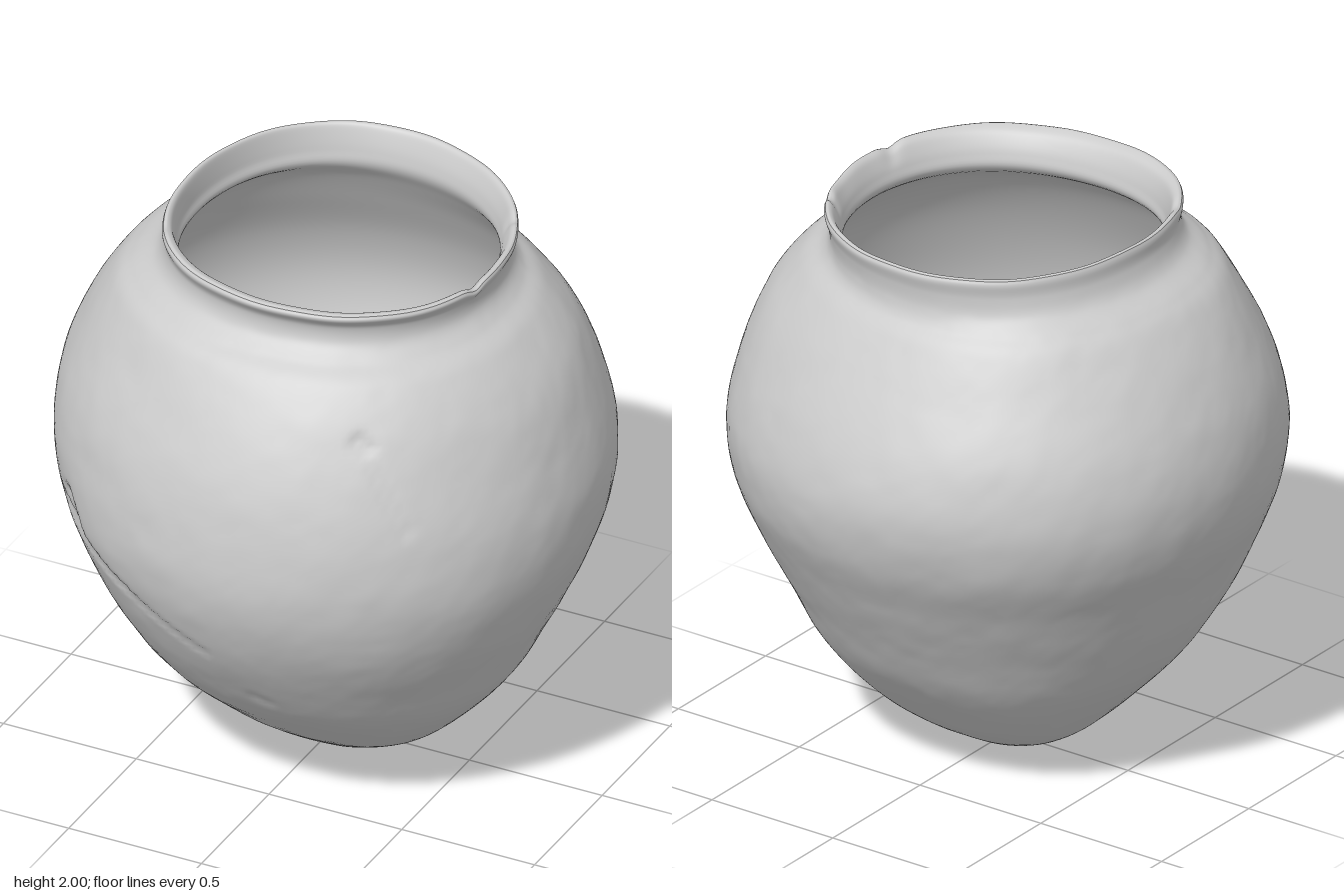
import * as THREE from 'three';

// Outer sections from base to lip: [y, xMin, xMax, zMin, zMax]
const OUTER = [
  [0, 0.03, 0.03, 0.03, 0.03],
  [0.006, -0.06, 0.12, -0.06, 0.1],
  [0.03, -0.165, 0.21, -0.145, 0.16],
  [0.1, -0.31, 0.35, -0.265, 0.265],
  [0.2, -0.43, 0.485, -0.39, 0.4],
  [0.4, -0.615, 0.67, -0.575, 0.625],
  [0.6, -0.745, 0.785, -0.7, 0.78],
  [0.8, -0.84, 0.88, -0.815, 0.89],
  [1.0, -0.93, 0.945, -0.915, 0.947],
  [1.2, -0.965, 0.957, -0.947, 0.94],
  [1.4, -0.94, 0.915, -0.9, 0.89],
  [1.6, -0.855, 0.84, -0.795, 0.795],
  [1.75, -0.755, 0.72, -0.7, 0.695],
  [1.81, -0.69, 0.635, -0.645, 0.62],
  [1.86, -0.61, 0.595, -0.625, 0.573],
  [1.92, -0.577, 0.595, -0.625, 0.565],
  [1.965, -0.575, 0.61, -0.635, 0.592],
  [1.983, -0.57, 0.607, -0.63, 0.588],
];
// Inside of the mouth, going down
const MOUTH = [
  [1.985, -0.558, 0.595, -0.615, 0.57],
  [1.965, -0.55, 0.575, -0.6, 0.535],
  [1.9, -0.545, 0.552, -0.578, 0.505],
  [1.84, -0.548, 0.552, -0.578, 0.51],
];
// Hollow interior: the outer sections drawn in by the wall thickness
const WALL = 0.065;
const INNER = OUTER.slice(0, 13).reverse().map(([y, a, b, c, d]) => {
  const k = Math.min(WALL, (b - a) / 2, (d - c) / 2);
  return [y + WALL * (1 - y / 2), a + k, b - k, c + k, d - k];
});

// Scars cut into the front: [x1, y1, x2, y2, width, depth]
const SCARS = [
  [-0.73, 1.01, -0.62, 0.97, 0.024, 0.02],
  [-0.69, 1.07, -0.64, 1.0, 0.026, 0.022],
  [-0.62, 0.97, -0.38, 0.87, 0.015, 0.015],
  [-0.38, 0.87, -0.06, 0.73, 0.014, 0.01],
  [0.43, 1.61, 0.47, 1.58, 0.02, 0.016],
  [0.47, 1.58, 0.63, 1.31, 0.014, 0.008],
  [0.06, 0.52, 0.1, 0.5, 0.025, 0.008],
];
// Chips in the lip: [angle, half width, depth]
const CHIPS = [[-0.5, 0.05, 0.016], [0.27, 0.06, 0.016], [2.6, 0.07, 0.01], [-0.25, 0.15, 0.008]];

const { lerp, smoothstep, clamp } = THREE.MathUtils;
const bell = (d, w) => Math.exp(-(d * d) / (w * w));

function scarDepth(p) {
  if (p.z < 0) return 0;
  let depth = 0;
  for (const [x1, y1, x2, y2, w, d] of SCARS) {
    const dx = x2 - x1, dy = y2 - y1;
    const t = clamp(((p.x - x1) * dx + (p.y - y1) * dy) / (dx * dx + dy * dy), 0, 1);
    depth = Math.max(depth, d * bell(Math.hypot(p.x - x1 - t * dx, p.y - y1 - t * dy), w));
  }
  return depth;
}

// Seeded value noise in space, from -1 to 1
function hash(x, y, z) {
  let h = Math.imul(x, 374761393) ^ Math.imul(y, 668265263) ^ Math.imul(z, 1274126177);
  h = Math.imul(h ^ (h >>> 13), 1103515245);
  return ((h ^ (h >>> 16)) >>> 0) / 2147483648 - 1;
}
function noise(p, scale) {
  const [x, y, z] = [p.x * scale, p.y * scale, p.z * scale];
  const [i, j, k] = [x, y, z].map(Math.floor);
  const u = smoothstep(x - i, 0, 1), v = smoothstep(y - j, 0, 1), w = smoothstep(z - k, 0, 1);
  const edge = (b, c) => lerp(hash(i, b, c), hash(i + 1, b, c), u);
  return lerp(lerp(edge(j, k), edge(j + 1, k), v), lerp(edge(j, k + 1), edge(j + 1, k + 1), v), w);
}

// Gentle unevenness of hand-formed clay
const unevenness = (p) => 0.004 * noise(p, 4) + 0.0018 * noise(p, 11) + 0.0007 * noise(p, 26);

// How far a section departs from an ellipse between its four measured sides
function outOfRound(angle, y) {
  const s = Math.sin(2 * angle);
  const low = 1 - smoothstep(y, 0.1, 0.6), neck = smoothstep(y, 1.6, 1.88);
  const lean = 0.019 * neck * s * (Math.cos(angle) - Math.sin(angle));
  return 1 + 0.017 * s + (0.005 + 0.06 * low + 0.018 * neck) * s * s + lean;
}

// Loft through the sections, with a vertex rule applied
function loft(sections, steps, around, shape) {
  const curve = (f) => new THREE.CatmullRomCurve3(sections.map(f), false, 'catmullrom', 0.5);
  const centres = curve(([y, a, b, c, d]) => new THREE.Vector3((a + b) / 2, y, (c + d) / 2));
  const radii = curve(([y, a, b, c, d]) => new THREE.Vector3((b - a) / 2, y, (d - c) / 2));
  const rows = (sections.length - 1) * steps;
  const positions = [], index = [];
  for (let i = 0; i <= rows; i++) {
    const c = centres.getPoint(i / rows), r = radii.getPoint(i / rows);
    for (let j = 0; j < around; j++) {
      const angle = (j / around) * Math.PI * 2, k = outOfRound(angle, c.y);
      const p = new THREE.Vector3(c.x + r.x * k * Math.cos(angle), c.y, c.z + r.z * k * Math.sin(angle));
      shape(p, angle, Math.min(1, r.x / 0.3));
      positions.push(p.x, p.y, p.z);
      if (i === rows) continue;
      const next = (j + 1) % around, a = i * around, b = a + around;
      index.push(a + j, b + j, a + next, a + next, b + j, b + next);
    }
  }
  const geometry = new THREE.BufferGeometry();
  geometry.setAttribute('position', new THREE.Float32BufferAttribute(positions, 3));
  geometry.setIndex(index);
  geometry.computeVertexNormals();
  return geometry;
}

// Tilt and chip the lip
function shapeLip(p, angle) {
  const lip = smoothstep(p.y, 1.88, 1.985);
  let drop = 0.012 * Math.cos(angle) + 0.002 * Math.sin(9 * angle) * Math.sin(4 * angle + 1);
  for (const [at, w, d] of CHIPS) {
    const delta = Math.atan2(Math.sin(angle - at), Math.cos(angle - at));
    drop += d * bell(delta, w);
  }
  p.y -= drop * lip;
}

export function createModel() {
  const jar = new THREE.Group();
  jar.name = 'jar';
  const clay = new THREE.MeshStandardMaterial({ color: 0xcccccc, roughness: 0.9, side: THREE.DoubleSide });
  const add = (name, geometry) => {
    const mesh = new THREE.Mesh(geometry, clay);
    mesh.name = name;
    jar.add(mesh);
  };

  // Outer body, neck and lip
  add('outerBody', loft(OUTER, 10, 256, (p, angle, fade) => {
    const push = (unevenness(p) - scarDepth(p)) * fade * (1 - smoothstep(p.y, 1.8, 1.95));
    p.x += push * Math.cos(angle);
    p.z += push * Math.sin(angle);
    shapeLip(p, angle);
  }));

  // Lip top, mouth and hollow interior
  add('interior', loft([OUTER[OUTER.length - 1], ...MOUTH, ...INNER], 6, 256, shapeLip));
  return jar;
}
